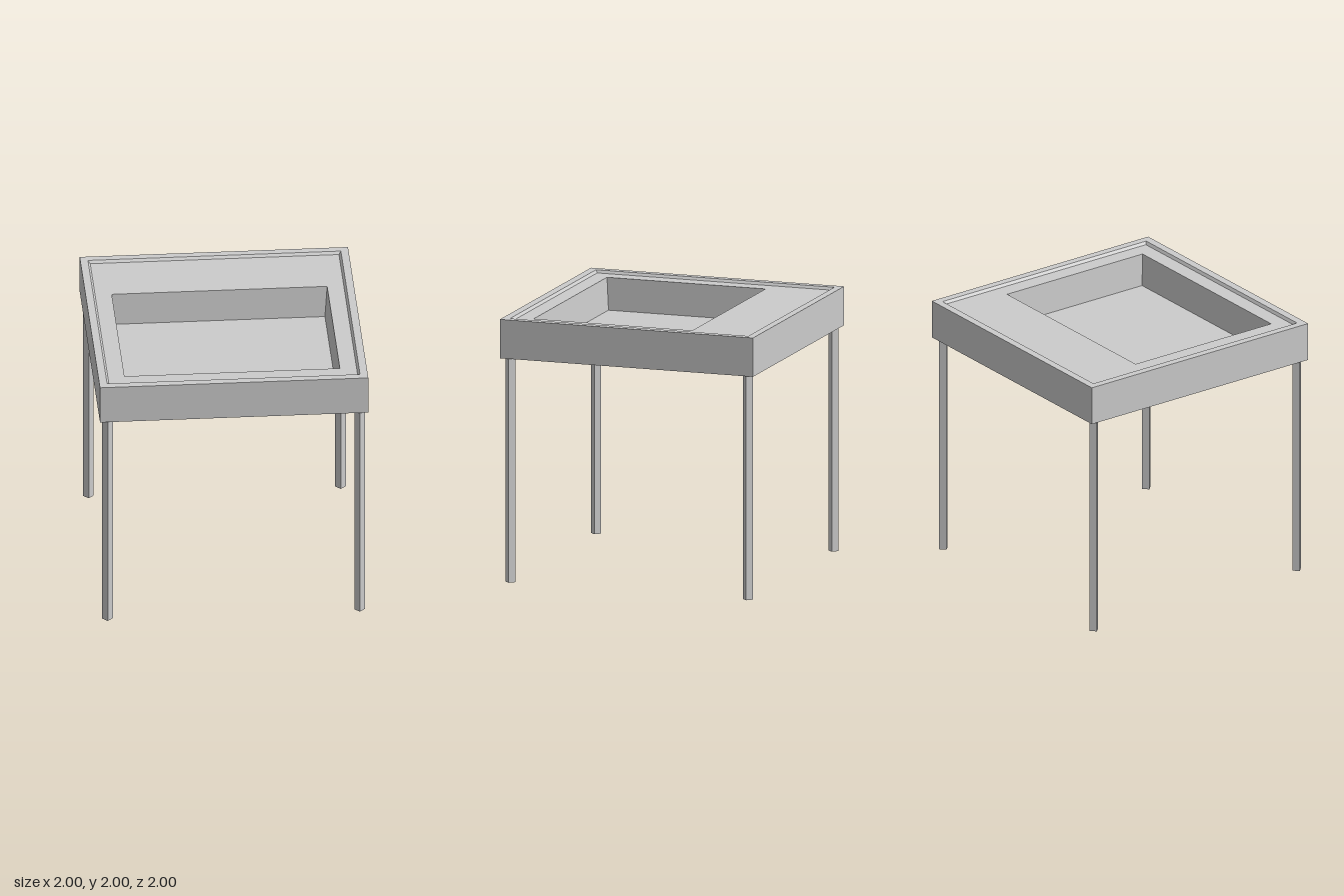
import * as THREE from 'three';

const material = new THREE.MeshStandardMaterial({ color: 0xcccccc, flatShading: true });

// Rectangular section: half width, back z, front z, height
const section = (hw, back, front, y) => [
  [-hw, y, front], [hw, y, front], [hw, y, back], [-hw, y, back],
];

// Joins rectangular sections in order; optional caps close the first or last one
function loft(name, sections, { capStart = false, capEnd = false } = {}) {
  const pos = [];
  const quad = (a, b, c, d) => [a, b, c, a, c, d].forEach((p) => pos.push(...p));
  for (let s = 0; s + 1 < sections.length; s++) {
    const a = sections[s], b = sections[s + 1];
    for (let i = 0; i < 4; i++) {
      const j = (i + 1) % 4;
      quad(a[i], a[j], b[j], b[i]);
    }
  }
  if (capStart) quad(...[...sections[0]].reverse());
  if (capEnd) quad(...sections[sections.length - 1]);
  const geometry = new THREE.BufferGeometry();
  geometry.setAttribute('position', new THREE.Float32BufferAttribute(pos, 3));
  geometry.computeVertexNormals();
  const mesh = new THREE.Mesh(geometry, material);
  mesh.name = name;
  return mesh;
}

export function createModel() {
  const group = new THREE.Group();
  group.name = 'trayTable';

  const bottomY = 1.705, topY = 2, ledgeY = 1.98, floorY = 1.735;
  const rimInner = section(0.943, -0.943, 0.94, topY);
  const ledgeOuter = section(0.927, -0.927, 0.925, ledgeY);
  const basinTop = section(0.803, -0.45, 0.803, ledgeY);

  // Closed underside, outer walls and raised rim
  group.add(loft('tableBody', [
    section(1, -1, 1, bottomY), section(1, -1, 1, topY), rimInner,
  ], { capStart: true }));

  // Bevelled step down to the flat top, which surrounds the basin
  group.add(loft('ledge', [rimInner, ledgeOuter, basinTop]));

  // Recessed basin with slightly tapered walls
  group.add(loft('basin', [basinTop, section(0.785, -0.43, 0.785, floorY)], { capEnd: true }));

  // Four square legs turned 45 degrees
  const legGeometry = new THREE.CylinderGeometry(0.04, 0.04, bottomY, 4);
  for (const [sx, xName] of [[1, 'Left'], [-1, 'Right']]) {
    for (const [sz, zName] of [[1, 'front'], [-1, 'back']]) {
      const leg = new THREE.Mesh(legGeometry, material);
      leg.name = `${zName}${xName}Leg`;
      leg.position.set(sx * 0.94, bottomY / 2, sz * 0.938);
      group.add(leg);
    }
  }
  return group;
}
